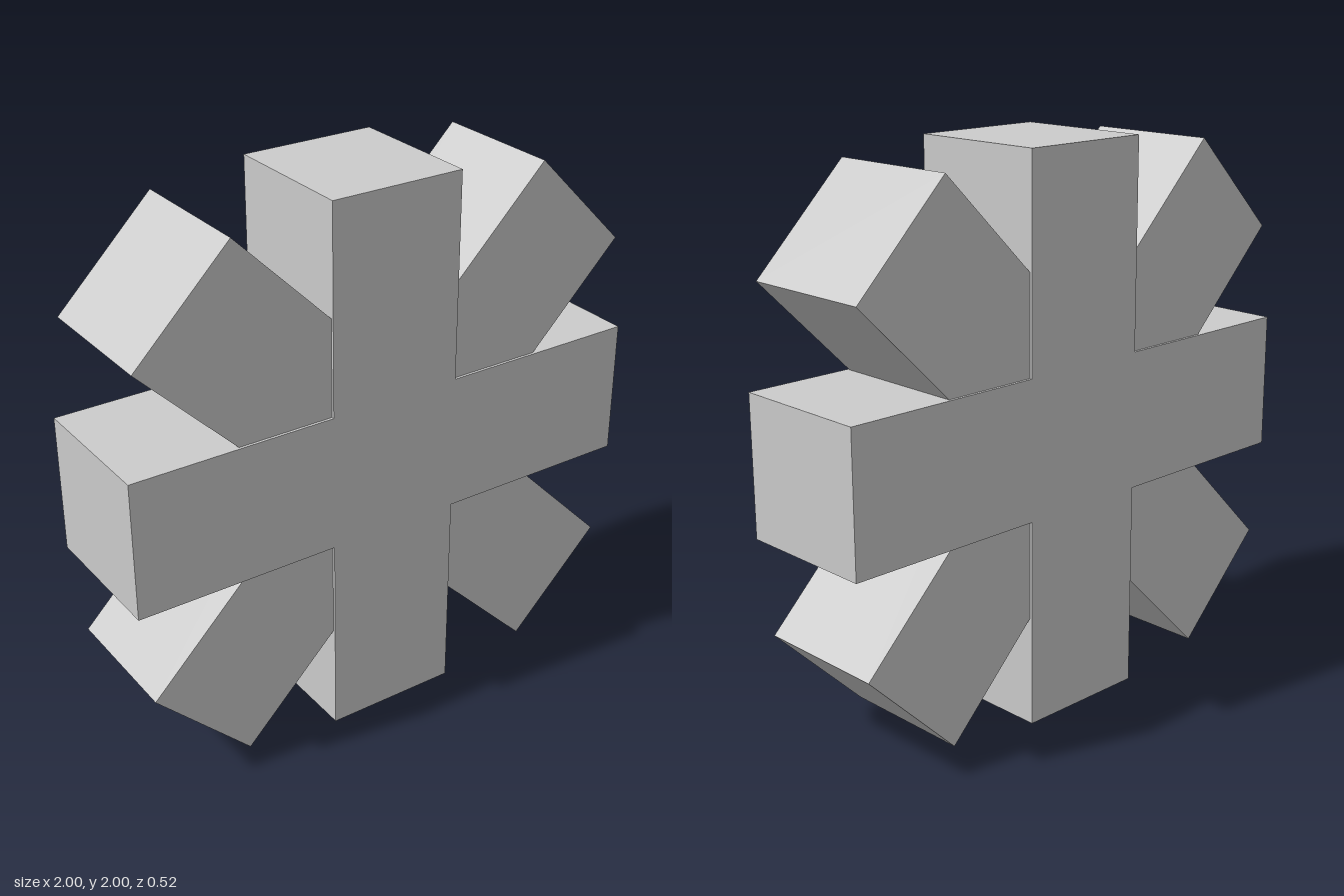
import * as THREE from 'three';

export function createModel() {
  const group = new THREE.Group();
  const material = new THREE.MeshStandardMaterial({ color: 0xcccccc, flatShading: true });
  const half = 0.25; // half width of every arm
  const crossDepth = 0.52;

  // Upright cross: one outline, a quarter of it repeated four times
  const outline = [];
  for (let i = 0; i < 4; i++) {
    for (const [x, y] of [[1, -half], [1, half], [half, half]]) {
      outline.push(new THREE.Vector2(x, y).rotateAround(new THREE.Vector2(), i * Math.PI / 2));
    }
  }
  const crossGeometry = new THREE.ExtrudeGeometry(new THREE.Shape(outline), {
    depth: crossDepth, bevelEnabled: false,
  });
  crossGeometry.translate(0, 0, -crossDepth / 2);
  const cross = new THREE.Mesh(crossGeometry, material);
  cross.name = 'uprightCross';
  cross.position.y = 1;
  group.add(cross);

  // Two slightly thinner diagonal bars through the centre
  for (const [name, side] of [['diagonalBarLeft', 1], ['diagonalBarRight', -1]]) {
    const bar = new THREE.Mesh(new THREE.BoxGeometry(2.208, 2 * half, 0.5), material);
    bar.name = name;
    bar.position.y = 1;
    bar.rotation.z = side * Math.PI / 4;
    group.add(bar);
  }

  return group;
}
